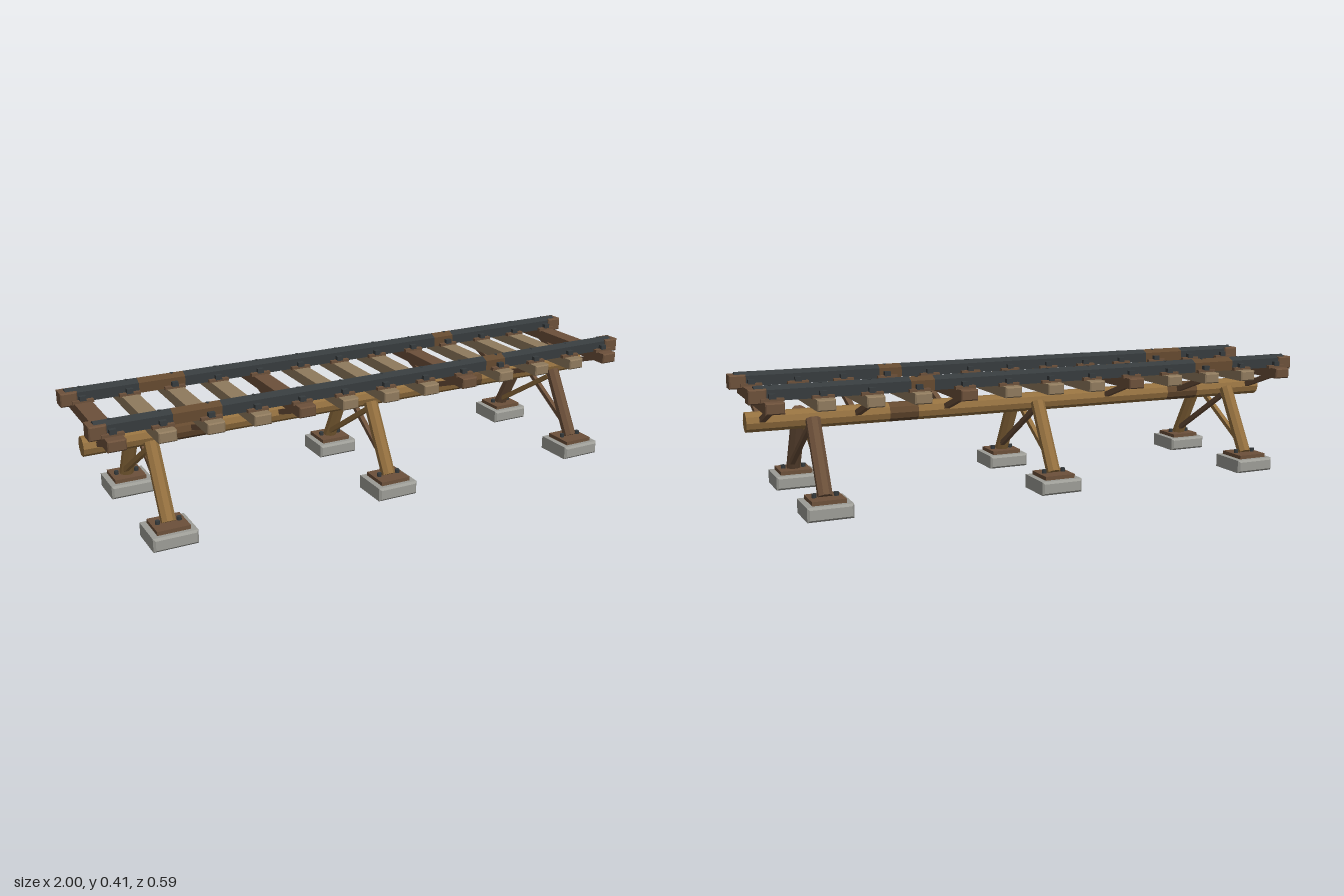
import * as THREE from 'three';

const mat = (name, color) => {
  const m = new THREE.MeshStandardMaterial({ color });
  m.name = name;
  return m;
};

export function createModel() {
  const group = new THREE.Group();
  const brown = mat('dark wood', 0x6c503a);
  const tan = mat('pale wood', 0x8f7a5d);
  const gold = mat('golden wood', 0x94703f);
  const iron = mat('iron', 0x363b3d);
  const rust = mat('rust', 0x64492f);
  const stone = mat('concrete', 0x9c9c96);

  const add = (name, geo, material, x = 0, y = 0, z = 0) => {
    const mesh = new THREE.Mesh(geo, material);
    mesh.name = name;
    mesh.position.set(x, y, z);
    group.add(mesh);
    return mesh;
  };
  const box = (w, h, d) => new THREE.BoxGeometry(w, h, d);

  // Box with chamfered edges, centred on its origin
  const chamferBox = (w, h, d, b) => {
    const s = new THREE.Shape();
    const x = w / 2 - b, y = h / 2 - b;
    s.moveTo(-x, -y).lineTo(x, -y).lineTo(x, y).lineTo(-x, y).closePath();
    const g = new THREE.ExtrudeGeometry(s, {
      depth: d - 2 * b, bevelEnabled: true, bevelThickness: b, bevelSize: b, bevelSegments: 1,
    });
    return g.translate(0, 0, -d / 2 + b);
  };

  // Faceted round timber along y
  const timber = (r, len, sides) => {
    const g = new THREE.CylinderGeometry(r, r, len, sides).toNonIndexed();
    g.computeVertexNormals();
    return g;
  };

  // Place a strut in the plane x = const, between two (z, y) points
  const strut = (name, geoOf, material, x, a, b) => {
    const from = new THREE.Vector3(x, a[1], a[0]);
    const dir = new THREE.Vector3(x, b[1], b[0]).sub(from);
    const mesh = add(name, geoOf(dir.length()), material);
    mesh.position.copy(from).addScaledVector(dir, 0.5);
    mesh.quaternion.setFromUnitVectors(new THREE.Vector3(0, 1, 0), dir.normalize());
  };

  // Rails: peaked bar in sections, with rusty stretches
  const rail = new THREE.Shape();
  rail.moveTo(-0.024, 0.364).lineTo(0.024, 0.364).lineTo(0.024, 0.398)
    .lineTo(0, 0.41).lineTo(-0.024, 0.398).closePath();
  const sections = [
    [-0.98, -0.74, false], [-0.74, -0.58, true], [-0.58, 0.41, false],
    [0.41, 0.49, true], [0.49, 0.98, false],
  ];
  for (const z of [-0.17, 0.17]) {
    for (const [a, b, rusty] of sections) {
      const g = new THREE.ExtrudeGeometry(rail, { depth: b - a, bevelEnabled: false });
      g.rotateY(Math.PI / 2);
      add(rusty ? 'rustyRail' : 'rail', g, rusty ? rust : iron, a, 0, z);
    }
    for (const s of [-1, 1]) {
      add('railEndBlock', chamferBox(0.055, 0.046, 0.061, 0.004), brown, s * 0.9725, 0.379, z);
    }
  }

  // Sleepers with rail chairs and bolts; every second one is braced to the beam
  const sleeperGeo = chamferBox(0.058, 0.036, 0.49, 0.004);
  for (let i = 0; i < 13; i++) {
    const x = (i - 6) * 0.155;
    const wood = i % 4 === 0 ? brown : tan;
    add('sleeper', sleeperGeo, i === 6 ? tan : wood, x, 0.347, 0);
    for (const s of [-1, 1]) {
      const z = s * 0.17;
      add('railChair', box(0.07, 0.011, 0.078), brown, x, 0.368, z);
      add('railBolt', box(0.022, 0.016, 0.079), iron, x, 0.379, z);
      add('railStud', new THREE.CylinderGeometry(0.007, 0.007, 0.01, 4), iron, x, 0.405, z);
      if (i % 2 === 0 && i !== 6) {
        strut('sleeperBrace', (l) => box(0.018, l, 0.018), brown, x, [s * 0.175, 0.332], [s * 0.015, 0.275]);
      }
    }
  }

  // Long central beam with darker stretches
  const beam = [[-0.98, -0.7, gold], [-0.7, -0.57, rust], [-0.57, 0.41, gold],
    [0.41, 0.51, rust], [0.51, 0.98, gold]];
  for (const [a, b, m] of beam) {
    add('centralBeam', timber(0.033, b - a, 10).rotateZ(Math.PI / 2), m, (a + b) / 2, 0.27, 0);
  }

  // Three trestles: footings, plates, bolts, leaning posts and crossed braces
  for (const x of [-0.785, 0, 0.785]) {
    const postWood = x > 0 ? brown : gold;
    for (const s of [-1, 1]) {
      add('footing', chamferBox(0.146, 0.046, 0.147, 0.007), stone, x, 0.023, s * 0.221);
      add('basePlate', box(0.108, 0.013, 0.106), brown, x, 0.0535, s * 0.222);
      for (const dx of [-0.035, 0.035]) {
        add('anchorBolt', new THREE.CylinderGeometry(0.008, 0.008, 0.013, 6), iron, x + dx, 0.066, s * 0.222);
      }
      strut('post', (l) => timber(0.024, l, 8).rotateY(Math.PI / 8), postWood,
        x, [s * 0.222, 0.06], [s * 0.095, 0.283]);
      strut('crossBrace', (l) => box(0.016, l, 0.016), s > 0 ? brown : gold,
        x + s * 0.01, [s * 0.19, 0.085], [s * -0.09, 0.258]);
    }
  }
  return group;
}
